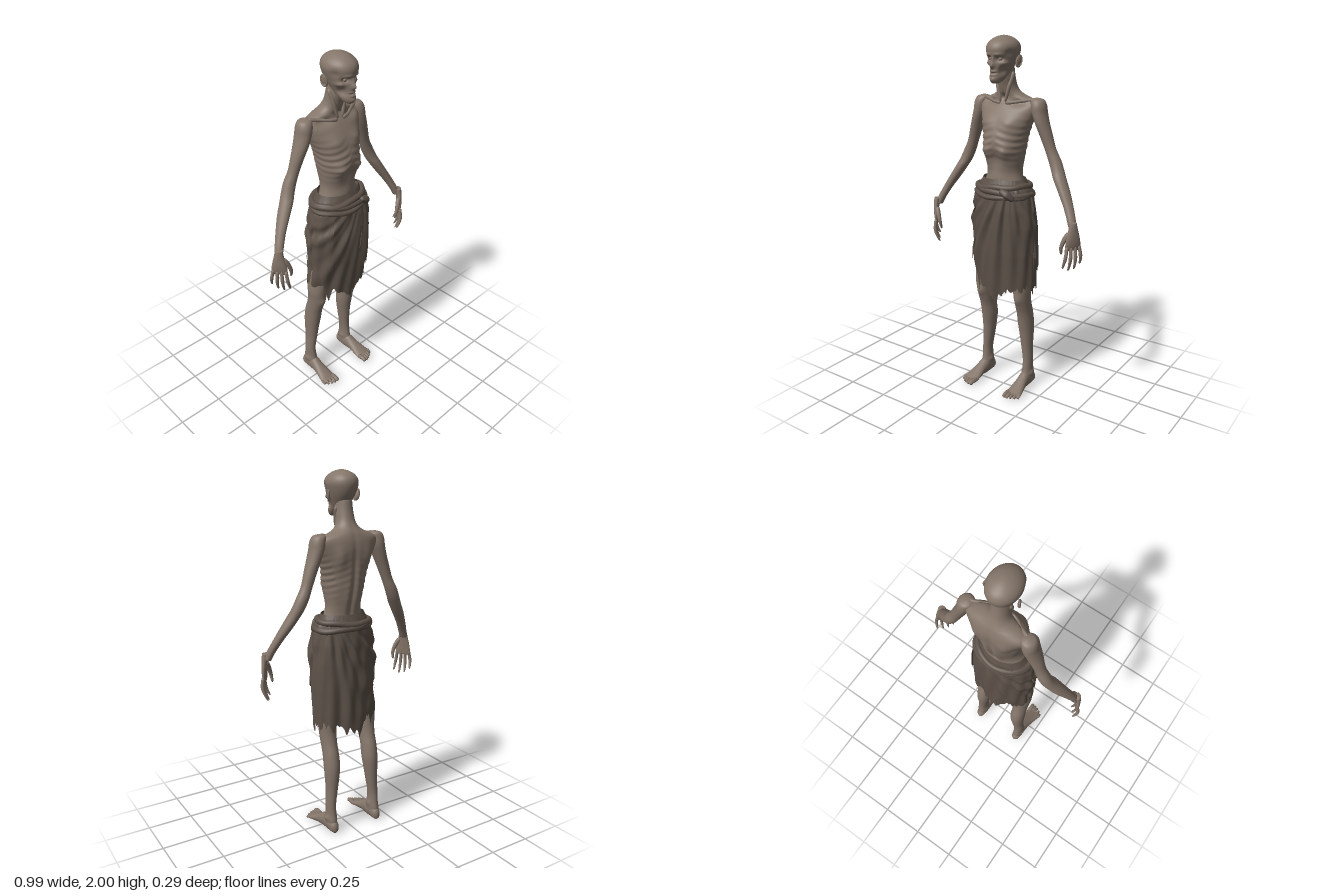
import * as THREE from 'three';

const skin = new THREE.MeshStandardMaterial({ color: 0x85766a });
skin.name = 'skin';
const cloth = new THREE.MeshStandardMaterial({ color: 0x5c5148, side: THREE.DoubleSide });
cloth.name = 'cloth';

let seed = 7;
const rand = () => (seed = (seed * 16807) % 2147483647) / 2147483647;
const gauss = (d, w) => Math.exp(-(d * d) / (w * w));

// Smoothly interpolated cross-section at t in 0..1; a section is [height, centre, half width, front, back]
function section(secs, t) {
  const f = t * (secs.length - 1), i = Math.min(Math.floor(f), secs.length - 2), u = f - i;
  const at = (k) => secs[Math.max(0, Math.min(secs.length - 1, k))];
  return secs[0].map((_, c) => {
    const [a, b, d, e] = [at(i - 1)[c], at(i)[c], at(i + 1)[c], at(i + 2)[c]];
    return b + 0.5 * u * (d - a + u * (2 * a - 5 * b + 4 * d - e + u * (3 * (b - d) + e - a)));
  });
}

// Closed skin over elliptical sections stacked along y (or z, where front/back mean top/bottom)
function loft(secs, nu, nv, push = () => {}, alongZ = false) {
  const rows = [...secs].sort((a, b) => a[0] - b[0]), pos = [], idx = [], p = new THREE.Vector3();
  const add = (u, a, v) => {
    if (alongZ) p.set(u, v, a); else p.set(u, a, v);
    push(p);
    pos.push(p.x, p.y, p.z);
  };
  const tri = (a, b, c) => (alongZ ? idx.push(a, c, b) : idx.push(a, b, c));
  for (let j = 0; j <= nv; j++) {
    const [a, c, r, hi, lo] = section(rows, j / nv);
    for (let i = 0; i < nu; i++) {
      const th = (i / nu) * Math.PI * 2;
      add(c + r * Math.cos(th), a, (hi + lo) / 2 + ((hi - lo) / 2) * Math.sin(th));
      if (j === nv) continue;
      const k = j * nu + i, n = j * nu + ((i + 1) % nu);
      tri(k, k + nu, n);
      tri(n, k + nu, n + nu);
    }
  }
  [0, 1].forEach((end) => {
    const [a, c, , hi, lo] = section(rows, end), m = pos.length / 3, base = end * nv * nu;
    add(c, a, (hi + lo) / 2);
    for (let i = 0; i < nu; i++) {
      const k = base + i, n = base + ((i + 1) % nu);
      if (end) tri(k, m, n); else tri(k, n, m);
    }
  });
  return build(pos, idx);
}

function build(pos, idx) {
  const g = new THREE.BufferGeometry();
  g.setAttribute('position', new THREE.Float32BufferAttribute(pos, 3));
  g.setIndex(idx);
  g.computeVertexNormals();
  return g;
}

// Round-ended tube whose radius changes along the path
function taper(points, radii, n = 20, sides = 10) {
  const curve = new THREE.CatmullRomCurve3(points.map((q) => new THREE.Vector3(...q)));
  const g = new THREE.TubeGeometry(curve, n, 1, sides), P = g.attributes.position, v = new THREE.Vector3();
  for (let k = 0; k < P.count; k++) {
    const t = Math.floor(k / (sides + 1)) / n, c = curve.getPointAt(t);
    const f = t * (radii.length - 1), i = Math.min(Math.floor(f), radii.length - 2);
    const r = THREE.MathUtils.lerp(radii[i], radii[i + 1], f - i) * Math.sqrt(1.0001 - Math.abs(2 * t - 1) ** 10);
    v.fromBufferAttribute(P, k).sub(c).multiplyScalar(r).add(c);
    P.setXYZ(k, v.x, v.y, v.z);
  }
  g.computeVertexNormals();
  return g;
}

// Mirrored soft bumps: [x, y, z, spreadX, spreadY, spreadZ, moveX, moveY, moveZ]
const sculpt = (bumps) => (p) => {
  const o = p.clone(), s = Math.sign(o.x);
  for (const [x, y, z, a, b, c, dx, dy, dz] of bumps) {
    const w = gauss(Math.abs(o.x) - x, a) * gauss(o.y - y, b) * gauss(o.z - z, c);
    p.x += s * dx * w; p.y += dy * w; p.z += dz * w;
  }
};

export function createModel() {
  const model = new THREE.Group();
  const put = (name, geo, mat = skin, parent = model) => {
    const m = new THREE.Mesh(geo, mat);
    m.name = name;
    parent.add(m);
    return m;
  };

  // Torso and neck, with ribs, hollow belly, shoulder blades and spine groove
  const body = sculpt([
    [0.07, 1.56, 0.05, 0.045, 0.035, 0.06, 0, 0, 0.012], [0.06, 1.41, 0.09, 0.035, 0.035, 0.06, 0.003, 0, 0.014],
    [0, 1.37, 0.09, 0.04, 0.05, 0.06, 0, 0, -0.018], [0, 1.27, 0.07, 0.06, 0.04, 0.05, 0, 0, 0.006],
    [0.085, 1.56, -0.12, 0.035, 0.06, 0.05, 0, 0, -0.014], [0.03, 1.34, -0.11, 0.02, 0.1, 0.05, 0, 0, -0.007],
    [0.09, 1.66, 0, 0.045, 0.018, 0.05, 0, 0, -0.018], [0, 1.685, 0, 0.014, 0.018, 0.04, 0, 0, -0.012],
    [0, 1.245, 0.075, 0.007, 0.008, 0.03, 0, 0, -0.01]]);
  put('torso', loft([
    [1.10, 0, 0.13, 0.08, -0.10], [1.20, 0, 0.13, 0.08, -0.10], [1.25, 0, 0.110, 0.07, -0.09], [1.30, 0, 0.100, 0.068, -0.098],
    [1.36, 0, 0.107, 0.085, -0.115], [1.42, 0, 0.116, 0.1, -0.13], [1.48, 0, 0.124, 0.095, -0.138], [1.54, 0, 0.142, 0.074, -0.14],
    [1.60, 0, 0.165, 0.045, -0.142], [1.64, 0, 0.176, 0.02, -0.138], [1.665, 0, 0.166, 0.003, -0.132], [1.685, 0, 0.125, -0.003, -0.125],
    [1.70, 0, 0.088, 0, -0.117], [1.72, 0, 0.062, 0.008, -0.105], [1.75, 0, 0.05, 0.018, -0.09], [1.80, 0, 0.046, 0.033, -0.077],
    [1.85, 0, 0.042, 0.03, -0.07]], 100, 130, (p) => {
    const x = Math.abs(p.x), z = p.z;
    body(p);
    const rib = gauss(p.y - 1.47, 0.085) * (x > 0.02 ? 1 : x / 0.02) * (z > -0.09 ? 1 : 0.3);
    const k = 1 + 0.022 * rib * Math.sin(((p.y + 0.35 * x + 0.15 * z) * Math.PI * 2) / 0.036);
    p.x *= k;
    p.z = (p.z + 0.03) * k - 0.03;
    if (z < -0.05) p.z += 0.014 * gauss(x, 0.014) * gauss(p.y - 1.42, 0.2);
  }));

  // Gaunt head: brow, sockets, cheekbones, hollow cheeks, nose and mouth
  put('head', loft([
    [1.763, 0, 0.014, 0.09, 0.055], [1.772, 0, 0.027, 0.1, 0.03], [1.79, 0, 0.037, 0.104, 0], [1.81, 0, 0.045, 0.1, -0.03],
    [1.84, 0, 0.055, 0.097, -0.06], [1.87, 0, 0.066, 0.095, -0.082], [1.90, 0, 0.076, 0.1, -0.096], [1.93, 0, 0.083, 0.105, -0.102],
    [1.955, 0, 0.078, 0.097, -0.097], [1.975, 0, 0.063, 0.076, -0.08], [1.99, 0, 0.04, 0.048, -0.052], [1.998, 0, 0.017, 0.02, -0.025],
    [2.0, 0, 0.002, 0.002, -0.004]], 90, 100, sculpt([
    [0, 1.855, 0.1, 0.011, 0.016, 0.05, 0, -0.004, 0.022], [0, 1.88, 0.1, 0.008, 0.016, 0.05, 0, 0, 0.01],
    [0.03, 1.886, 0.085, 0.016, 0.012, 0.04, 0, 0, -0.02], [0.03, 1.907, 0.09, 0.024, 0.008, 0.04, 0, -0.002, 0.006],
    [0.052, 1.862, 0.06, 0.016, 0.012, 0.035, 0.006, 0, 0.007], [0.043, 1.825, 0.065, 0.016, 0.022, 0.04, -0.009, 0, -0.012],
    [0, 1.815, 0.1, 0.022, 0.003, 0.04, 0, 0, -0.007], [0, 1.823, 0.1, 0.02, 0.005, 0.04, 0, 0, 0.004],
    [0, 1.805, 0.1, 0.017, 0.005, 0.04, 0, 0, 0.005], [0, 1.783, 0.1, 0.018, 0.01, 0.04, 0, 0, 0.004],
    [0.08, 1.915, 0.05, 0.025, 0.02, 0.025, -0.007, 0, 0]])));

  for (const s of [1, -1]) {
    const side = s > 0 ? 'left' : 'right';
    const eye = put(side + 'Eye', new THREE.SphereGeometry(0.011, 16, 12));
    eye.position.set(0.029 * s, 1.885, 0.069);
    const ear = put(side + 'Ear', new THREE.SphereGeometry(1, 16, 14));
    ear.scale.set(0.007, 0.03, 0.017);
    ear.position.set(0.083 * s, 1.87, -0.012);
    ear.rotation.set(-0.15, -0.45 * s, -0.22 * s);
    const rim = put(side + 'EarRim', new THREE.TorusGeometry(0.017, 0.004, 8, 24));
    rim.scale.set(0.85, 1.55, 1);
    rim.position.set(0.087 * s, 1.873, -0.014);
    rim.rotation.set(0, (Math.PI / 2 - 0.45) * s, -0.2 * s);

    // Collarbones and neck tendons
    put(side + 'Collarbone', taper([[0.014 * s, 1.658, 0.008], [0.06 * s, 1.664, 0.001], [0.11 * s, 1.672, -0.028], [0.165 * s, 1.68, -0.055]], [0.011, 0.008, 0.009, 0.012]));
    put(side + 'NeckTendon', taper([[0.046 * s, 1.82, -0.025], [0.036 * s, 1.75, -0.001], [0.014 * s, 1.662, 0.008]], [0.012, 0.011, 0.007]));

    // Arm
    put(side + 'Arm', loft([
      [1.688, 0.168, 0.008, -0.052, -0.07], [1.678, 0.172, 0.034, -0.026, -0.098], [1.65, 0.18, 0.04, -0.012, -0.108], [1.61, 0.187, 0.039, -0.01, -0.11],
      [1.56, 0.203, 0.036, -0.013, -0.106], [1.50, 0.225, 0.034, -0.025, -0.1], [1.43, 0.25, 0.031, -0.036, -0.097], [1.37, 0.277, 0.035, -0.036, -0.102],
      [1.32, 0.299, 0.035, -0.028, -0.098], [1.28, 0.32, 0.034, -0.014, -0.088], [1.22, 0.356, 0.031, 0, -0.07], [1.15, 0.397, 0.026, 0.016, -0.04],
      [1.09, 0.427, 0.023, 0.033, -0.016], [1.05, 0.442, 0.02, 0.042, -0.004]].map(([y, x, ...r]) => [y, x * s, ...r]), 28, 60));

    // Hand: palm, four curled fingers and a thumb
    const hand = new THREE.Group();
    hand.name = side + 'Hand';
    hand.position.set(0.452 * s, 0, 0.032);
    hand.rotation.y = 0.95 * s;
    model.add(hand);
    put('palm', loft([[1.085, 0, 0.02, 0.012, -0.024], [1.05, 0, 0.026, 0.016, -0.016], [1.0, 0, 0.038, 0.017, -0.012], [0.965, 0, 0.043, 0.014, -0.01],
      [0.94, 0, 0.038, 0.008, -0.008]], 24, 20), skin, hand);
    for (let i = 0; i < 4; i++) {
      const x = (-0.033 + i * 0.022) * s, spread = (i - 1.5) * 0.006 * s, len = [0.108, 0.124, 0.117, 0.09][i];
      put('finger', taper([[x, 0.965, 0.003], [x + spread, 0.955 - len * 0.45, 0.009], [x + 1.6 * spread, 0.95 - len * 0.8, -0.002], [x + 1.7 * spread, 0.945 - len, -0.016]],
        [0.011, 0.009, 0.0095, 0.007, 0.005], 18, 9), skin, hand);
    }
    put('thumb', taper([[-0.02 * s, 1.035, -0.004], [-0.044 * s, 0.99, -0.014], [-0.055 * s, 0.95, -0.022], [-0.05 * s, 0.91, -0.03]], [0.014, 0.013, 0.01, 0.006], 18, 9), skin, hand);

    // Leg, knee to ankle offset differently on each side
    const [hip, knee, ankle] = s > 0 ? [0.085, 0.108, 0.12] : [-0.095, -0.148, -0.168];
    put(side + 'Leg', loft([
      [0.95, hip, 0.07, 0.06, -0.10], [0.78, (hip + knee) / 2, 0.06, 0.05, -0.09], [0.65, knee, 0.05, 0.036, -0.085], [0.59, knee, 0.046, 0.03, -0.085],
      [0.53, knee, 0.043, 0.016, -0.095], [0.47, knee, 0.043, -0.004, -0.113], [0.40, knee, 0.044, -0.018, -0.124], [0.33, knee * 0.8 + ankle * 0.2, 0.039, -0.03, -0.122],
      [0.25, (knee + ankle) / 2, 0.032, -0.038, -0.116], [0.17, ankle, 0.028, -0.042, -0.113], [0.11, ankle, 0.028, -0.036, -0.118], [0.07, ankle, 0.031, -0.026, -0.125],
      [0.03, ankle, 0.026, -0.03, -0.125]], 32, 60, sculpt([[Math.abs(ankle) - 0.028, 0.095, -0.075, 0.012, 0.014, 0.02, -0.007, 0, 0],
      [Math.abs(ankle) + 0.028, 0.085, -0.08, 0.012, 0.014, 0.02, 0.007, 0, 0], [Math.abs(knee), 0.565, 0.02, 0.022, 0.025, 0.03, 0, 0, 0.009]])));

    // Foot and toes
    put(side + 'Foot', loft([[-0.138, 0, 0.006, 0.042, 0.015], [-0.126, 0, 0.022, 0.065, 0.002], [-0.09, 0, 0.03, 0.09, 0], [-0.04, 0, 0.032, 0.096, 0],
      [0, 0.003, 0.034, 0.076, 0.004], [0.05, 0.006, 0.042, 0.05, 0.002], [0.085, 0.009, 0.047, 0.034, 0], [0.108, 0.009, 0.042, 0.024, 0.003]]
      .map(([z, x, ...r]) => [z, ankle + x * s, ...r]), 28, 36, (p) => { p.y = Math.max(0, p.y); }, true));
    for (let i = 0; i < 5; i++) {
      const x = ankle + (-0.026 + i * 0.0185) * s, r = i ? 0.0095 - i * 0.0004 : 0.0135, tip = 0.145 - i * i * 0.0022;
      put(side + 'Toe', taper([[x, 0.018, 0.08], [x + 0.002 * s, 0.02, tip - 0.025], [x + 0.002 * s, r, tip]], [r, r, r * 0.85], 12, 8));
    }
  }

  // Ragged wrap: sheets follow one outline, folds fan out from a knot, hems are torn
  const outline = [[0.5, 0, 0.18, 0.085, -0.136], [0.7, 0, 0.187, 0.1, -0.141], [0.85, 0, 0.19, 0.112, -0.14], [1.0, 0, 0.187, 0.118, -0.138],
    [1.1, 0, 0.178, 0.117, -0.134], [1.2, 0, 0.157, 0.108, -0.124], [1.26, 0, 0.125, 0.08, -0.1]];
  const outlineAt = (y) => {
    let i = 0;
    while (i < outline.length - 2 && y > outline[i + 1][0]) i++;
    const a = outline[i], b = outline[i + 1], t = (y - a[0]) / (b[0] - a[0]);
    return a.map((q, c) => q + (b[c] - q) * t);
  };
  const spot = (th, y, out) => {
    const [, , r, hi, lo] = outlineAt(y), x = r * Math.cos(th), front = Math.sin(th) > 0;
    const fan = Math.atan2(x - (front ? 0.09 : 0.12), 1.3 - y);
    const amt = Math.min(1, (1.26 - y) * 5) * 0.006;
    const d = out + amt * (Math.sin(fan * 24) + 0.6 * Math.sin(fan * 41 + 1) + 0.5 * Math.sin(th * 13 + y * 9));
    return [(r + d) * Math.cos(th), y, (hi + lo) / 2 + ((hi - lo) / 2 + d) * Math.sin(th)];
  };
  function sheet(name, t0, t1, top, hem, out, cols, rows = 40) {
    const pos = [], idx = [], big = [], small = [];
    for (let i = 0; i < 400; i++) { big.push(rand()); small.push(rand()); }
    const torn = (list, f) => list[Math.floor(f)] + (list[Math.floor(f) + 1] - list[Math.floor(f)]) * (f % 1);
    for (let i = 0; i <= cols; i++) {
      const th = t0 + ((t1 - t0) * i) / cols;
      const low = hem(th) + (torn(big, i / 9) - 0.5) * 0.1 + (torn(small, i / 2.3) - 0.5) * 0.05;
      for (let j = 0; j <= rows; j++) pos.push(...spot(th, top + (low - top) * (j / rows), out));
      if (i === cols) continue;
      for (let j = 0; j < rows; j++) {
        const k = i * (rows + 1) + j, n = k + rows + 1;
        idx.push(k, n, k + 1, n, n + 1, k + 1);
      }
    }
    put(name, build(pos, idx), cloth);
  }
  sheet('skirt', 0, Math.PI * 2, 1.26, (th) => 0.635 - 0.03 * gauss(th - 1.57, 0.4) + 0.02 * Math.cos(2 * th), 0, 260, 50);
  sheet('leftOverwrap', -0.5, 1.35, 1.22, (th) => 0.82 + 0.05 * th, 0.009, 90);
  sheet('rightOverwrap', 2.3, 3.9, 1.22, (th) => 0.83 - 0.03 * Math.sin(th * 3), 0.009, 80);
  sheet('frontStrip', 0.75, 1.15, 1.21, () => 0.74, 0.013, 24);

  // Rolled waistband: crossing twists and a knot
  [[0.012, 0.4, 0.017, 1.215], [0.016, 2.9, 0.016, 1.195], [0.01, 4.6, 0.014, 1.18]].forEach(([tilt, phase, r, y], n) => {
    const pts = [];
    for (let i = 0; i < 28; i++) {
      const th = (i / 28) * Math.PI * 2, h = y + tilt * Math.cos(th - phase) + 0.003 * Math.sin(th * 5 + n), [, , w, hi, lo] = outlineAt(h);
      pts.push(new THREE.Vector3((w + 0.003) * Math.cos(th), h, (hi + lo) / 2 + ((hi - lo) / 2 + 0.003) * Math.sin(th)));
    }
    put('waistRoll', new THREE.TubeGeometry(new THREE.CatmullRomCurve3(pts, true), 120, r, 10, true), cloth);
  });
  put('waistKnot', taper([[0.05, 1.215, 0.11], [0.09, 1.195, 0.108], [0.125, 1.165, 0.088]], [0.014, 0.023, 0.014]), cloth);
  return model;
}
